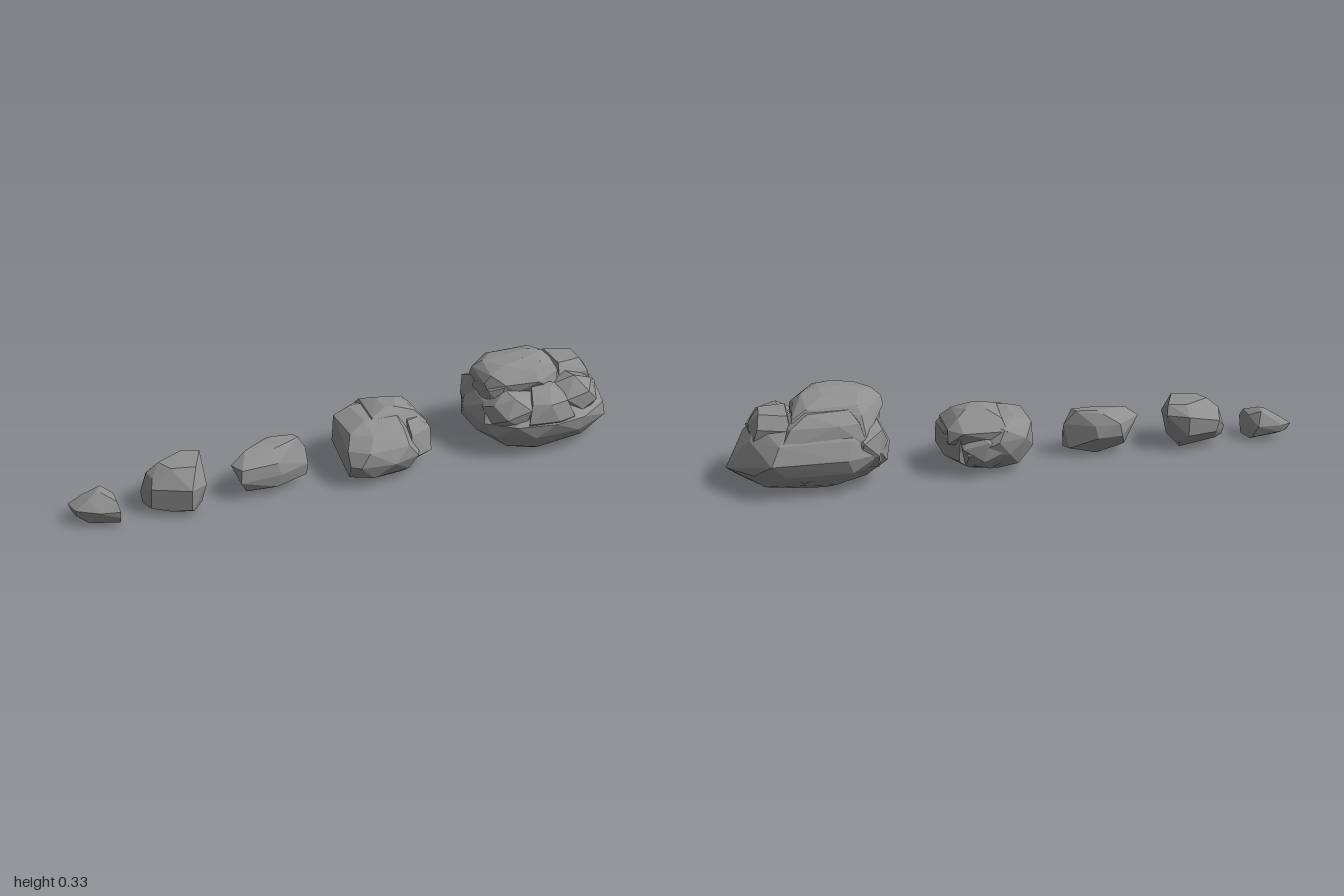
import * as THREE from 'three';
import { ConvexGeometry } from 'three/addons/geometries/ConvexGeometry.js';

const stone = new THREE.MeshStandardMaterial({ color: 0x909090, flatShading: true });

// Small seeded generator for the irregular lumps
function seeded(seed) {
  let s = seed * 7919 + 13;
  return () => (s = (s * 16807) % 2147483647) / 2147483647;
}

function hullMesh(name, points) {
  const mesh = new THREE.Mesh(new ConvexGeometry(points), stone);
  mesh.name = name;
  return mesh;
}

// Faceted stone from cross-sections: each row is a height and x, z pairs
function cutStone(name, rows) {
  const points = [];
  for (const [y, ...xz] of rows) {
    for (let i = 0; i < xz.length; i += 2) points.push(new THREE.Vector3(xz[i], y, xz[i + 1]));
  }
  return hullMesh(name, points);
}

// Chipped lump: a jittered ellipsoid of evenly spread corners
function lump(name, seed, [cx, cy, cz], [rx, ry, rz], count = 20) {
  const random = seeded(seed);
  const points = [];
  for (let i = 0; i < count; i++) {
    const v = 1 - (2 * i + 1) / count;
    const a = i * 2.39996 + seed + random() * 0.4;
    const r = Math.sqrt(1 - v * v);
    const k = 0.92 + random() * 0.12;
    points.push(new THREE.Vector3(cx + rx * k * r * Math.cos(a), cy + ry * k * v, cz + rz * k * r * Math.sin(a)));
  }
  return hullMesh(name, points);
}

function rockGroup(name, ...parts) {
  const group = new THREE.Group();
  group.name = name;
  group.add(...parts);
  return group;
}

export function createModel() {
  const model = new THREE.Group();
  model.name = 'rowOfRocks';

  // Three small rocks
  model.add(cutStone('pebble', [
    [0.01, -0.85, 0.035, -0.86, -0.03, -0.9, 0],
    [0.02, -0.96, -0.03, -0.95, 0.015, -0.86, -0.05],
    [0.04, -0.99, -0.05, -0.985, -0.01, -0.855, 0.06, -0.96, -0.07],
    [0.065, -1, -0.06, -0.99, 0, -0.92, 0.05, -0.855, 0.065, -0.875, -0.07, -0.965, -0.075],
    [0.095, -0.955, -0.05, -0.945, 0, -0.855, -0.02, -0.86, 0.045],
    [0.115, -0.915, -0.015, -0.89, -0.05, -0.9, 0],
  ]));

  model.add(cutStone('smallRock', [
    [0.01, -0.6, 0.03, -0.59, -0.04],
    [0.025, -0.68, 0.06, -0.61, 0.085, -0.575, 0.045],
    [0.035, -0.755, -0.02, -0.74, 0.03, -0.62, 0.095, -0.57, 0.05, -0.58, -0.06, -0.72, -0.05],
    [0.07, -0.755, -0.04, -0.71, -0.085, -0.6, -0.105],
    [0.11, -0.74, 0.04, -0.62, 0.105, -0.56, 0.075, -0.54, -0.06, -0.72, -0.085],
    [0.14, -0.735, -0.03, -0.53, -0.07, -0.6, -0.11, -0.73, 0.02],
    [0.175, -0.695, -0.02, -0.67, 0.04, -0.59, 0.06, -0.54, -0.05, -0.6, -0.07],
  ]));

  model.add(cutStone('wedgeRock', [
    [0.01, -0.32, 0.01, -0.29, -0.02],
    [0.035, -0.41, 0.045, -0.39, -0.02, -0.175, 0.01, -0.3, 0.055, -0.19, -0.02],
    [0.08, -0.435, 0.068, -0.29, 0.063, -0.175, 0.02, -0.28, -0.072, -0.37, -0.065],
    [0.125, -0.45, 0.01, -0.43, 0.065, -0.3, 0.06, -0.36, -0.068, -0.17, -0.015, -0.27, -0.07],
    [0.165, -0.395, 0, -0.3, 0.025, -0.3, -0.06],
    [0.175, -0.2, -0.005, -0.28, -0.045, -0.21, -0.03],
  ]));

  // Medium rock: a cut body, a broad cap and blocks parted by crevices
  model.add(rockGroup('mediumRock',
    cutStone('mediumBody', [
      [0.01, 0.05, 0.06, 0.15, 0.08, 0.16, -0.05, 0.08, -0.07],
      [0.04, -0.055, 0.1, 0.02, 0.14, 0.16, 0.12, 0.2, 0.08, 0.2, -0.1, 0.02, -0.12],
      [0.09, -0.06, 0.125, -0.03, 0.15, 0.09, 0.165, 0.19, 0.135, 0.24, 0.03, 0.24, -0.08, 0.2, -0.15, 0.06, -0.16, -0.04, -0.09],
      [0.14, -0.06, 0.1, 0, 0.15, 0.15, 0.145, 0.24, -0.1, 0.1, -0.175, 0, -0.15],
      [0.18, -0.035, 0.06, 0.03, 0.11, 0.15, 0.1, 0.23, -0.09, 0.08, -0.165, -0.03, -0.1],
      [0.205, 0.03, 0.03, 0.15, 0.04, 0.17, -0.1, 0.03, -0.1],
    ]),
    cutStone('mediumCap', [
      [0.13, 0.06, 0.06, 0.25, 0.07, 0.265, -0.12, 0.06, -0.16],
      [0.175, 0.05, 0.06, 0.255, 0.055, 0.262, -0.1, 0.22, -0.155, 0.07, -0.165],
      [0.21, 0.06, 0.03, 0.22, 0.03, 0.225, -0.09, 0.08, -0.13],
      [0.23, 0.12, 0.005, 0.15, 0.01, 0.19, -0.06, 0.12, -0.08],
    ]),
    cutStone('mediumRightBlock', [
      [0.04, 0.18, 0.08, 0.22, 0.06, 0.2, -0.1],
      [0.07, 0.17, 0.12, 0.265, 0.08, 0.265, -0.06, 0.23, -0.13],
      [0.15, 0.18, 0.1, 0.268, 0.06, 0.265, -0.07, 0.23, -0.15],
      [0.19, 0.18, 0.06, 0.24, 0.04, 0.23, -0.08],
    ]),
    lump('mediumBackLump', 9, [0.13, 0.11, -0.09], [0.11, 0.085, 0.085]),
  ));

  // Large boulder: a broad body carrying a crown and overlapping chunks
  model.add(rockGroup('boulder',
    cutStone('boulderBody', [
      [0.006, 0.66, 0.1, 0.75, 0.09, 0.78, -0.06, 0.68, -0.08],
      [0.035, 0.55, 0.1, 0.65, 0.15, 0.84, 0.12, 0.95, 0.03, 0.88, -0.1, 0.65, -0.14, 0.54, -0.08],
      [0.09, 0.46, 0.04, 0.49, 0.12, 0.62, 0.185, 0.79, 0.185, 0.94, 0.11, 1, -0.03, 0.92, -0.13, 0.82, -0.18, 0.6, -0.19, 0.47, -0.1],
      [0.14, 0.45, -0.05, 0.46, 0.1, 0.55, 0.18, 0.69, 0.208, 0.81, 0.19, 0.93, 0.11, 0.975, -0.03, 0.87, -0.2, 0.62, -0.21, 0.5, -0.165],
      [0.2, 0.48, 0.06, 0.6, 0.14, 0.83, 0.11, 0.93, 0.03, 0.925, -0.09, 0.84, -0.18, 0.6, -0.185, 0.5, -0.12],
      [0.25, 0.55, 0.02, 0.63, 0.05, 0.83, 0.03, 0.89, -0.08, 0.8, -0.14, 0.57, -0.14],
    ]),
    cutStone('boulderCrown', [
      [0.2, 0.5, 0.08, 0.76, 0.07, 0.8, -0.15, 0.55, -0.17],
      [0.27, 0.47, -0.05, 0.48, 0.05, 0.54, 0.1, 0.66, 0.115, 0.77, 0.05, 0.79, -0.13, 0.56, -0.14],
      [0.3, 0.475, -0.04, 0.5, 0.06, 0.66, 0.095, 0.765, 0, 0.74, -0.12, 0.57, -0.12],
      [0.325, 0.505, -0.02, 0.55, 0.05, 0.69, 0.065, 0.74, -0.02, 0.68, -0.07, 0.56, -0.07],
      [0.338, 0.6, -0.01, 0.63, 0.045, 0.68, 0.03, 0.68, -0.02],
    ]),
    cutStone('frontChunk', [
      [0.1, 0.6, 0.16, 0.76, 0.16, 0.68, 0.05],
      [0.15, 0.59, 0.19, 0.7, 0.208, 0.77, 0.19],
      [0.215, 0.61, 0.17, 0.67, 0.198, 0.74, 0.185, 0.76, 0.12],
      [0.25, 0.63, 0.12, 0.69, 0.14, 0.73, 0.1, 0.67, 0.05],
    ]),
    lump('leftUpperChunk', 2, [0.55, 0.235, 0.01], [0.085, 0.07, 0.11]),
    lump('leftFrontChunk', 3, [0.57, 0.175, 0.09], [0.105, 0.085, 0.095]),
    lump('rightFrontChunk', 8, [0.82, 0.185, 0.07], [0.105, 0.08, 0.105]),
    cutStone('rightUpperChunk', [
      [0.18, 0.76, 0.06, 0.92, 0.03, 0.92, -0.1, 0.78, -0.15],
      [0.24, 0.78, 0.05, 0.9, 0.04, 0.92, -0.03, 0.9, -0.11, 0.8, -0.15],
      [0.28, 0.79, 0.02, 0.88, 0.01, 0.89, -0.07, 0.8, -0.11],
    ]),
    cutStone('backUpperChunk', [
      [0.18, 0.55, -0.18, 0.84, -0.18, 0.7, -0.05],
      [0.25, 0.57, -0.16, 0.64, -0.172, 0.8, -0.165, 0.82, -0.06, 0.56, -0.06],
      [0.29, 0.6, -0.13, 0.74, -0.14, 0.76, -0.06, 0.6, -0.06],
    ]),
    lump('backChunk', 12, [0.73, 0.13, -0.12], [0.14, 0.095, 0.08]),
    lump('leftBackChunk', 13, [0.55, 0.16, -0.09], [0.09, 0.1, 0.1]),
  ));

  return model;
}
